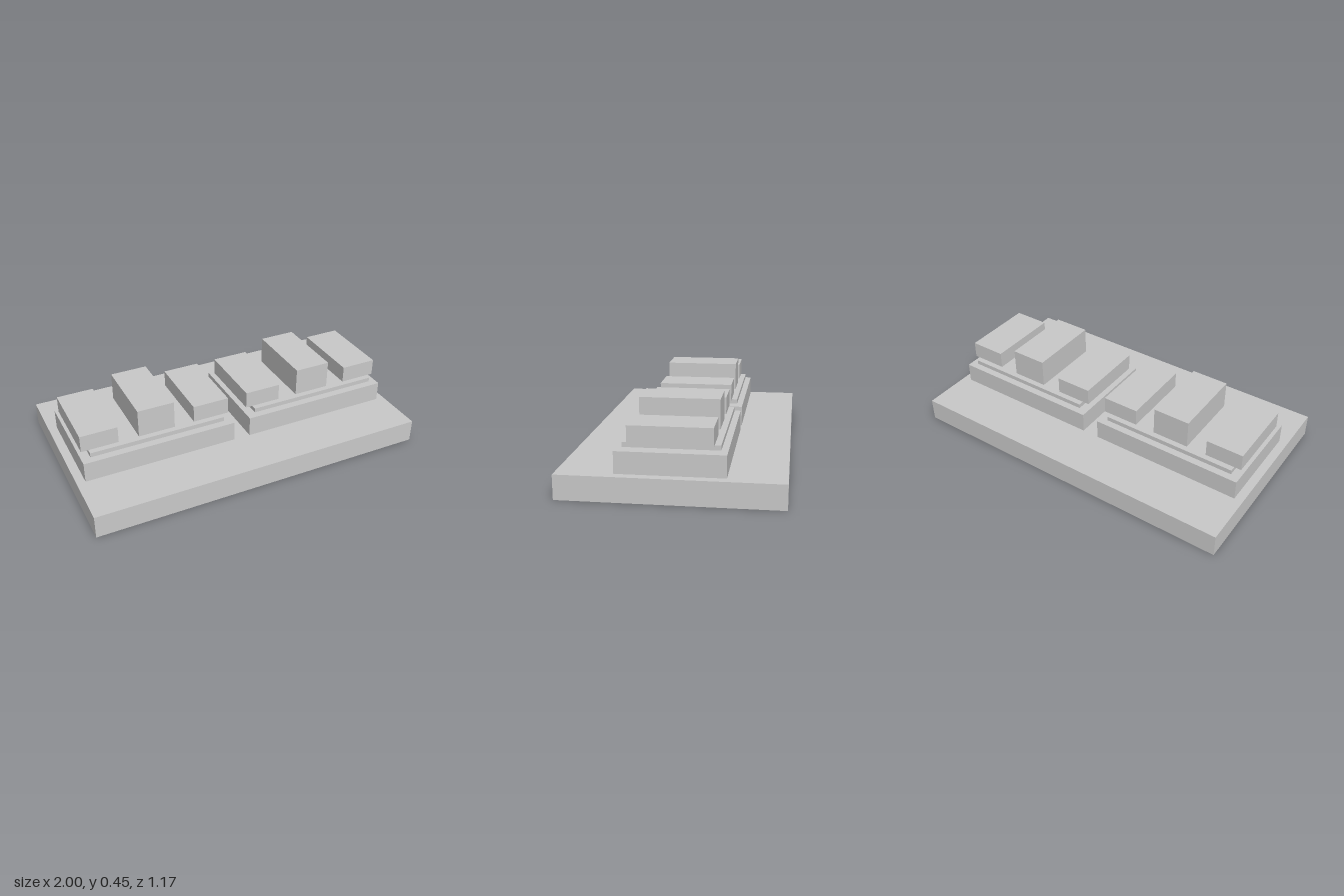
import * as THREE from 'three';

export function createModel() {
  const model = new THREE.Group();
  const lightGrey = new THREE.MeshStandardMaterial({ color: 0xcacaca });
  lightGrey.name = 'lightGrey';

  // Box centred on z, spanning bottom to top in y
  function addBox(parent, name, width, depth, bottom, top, x = 0) {
    const mesh = new THREE.Mesh(new THREE.BoxGeometry(width, top - bottom, depth), lightGrey);
    mesh.name = name;
    mesh.position.set(x, (bottom + top) / 2, 0);
    parent.add(mesh);
  }

  // Wide slab under everything
  addBox(model, 'base', 2, 1.168, 0, 0.134);

  // Two identical stacks side by side
  for (const [name, x] of [['rightUnit', -0.5], ['leftUnit', 0.5]]) {
    const unit = new THREE.Group();
    unit.name = name;
    unit.position.x = x;
    addBox(unit, 'riser', 0.9, 0.567, 0.134, 0.252);
    // Thin plate hovering just above the riser
    addBox(unit, 'plate', 0.8, 0.5, 0.26, 0.286);
    // Low outer blocks and a taller middle block
    addBox(unit, 'rightBlock', 0.215, 0.434, 0.286, 0.384, -0.333);
    addBox(unit, 'middleBlock', 0.215, 0.434, 0.286, 0.45);
    addBox(unit, 'leftBlock', 0.215, 0.434, 0.286, 0.384, 0.333);
    model.add(unit);
  }
  return model;
}
